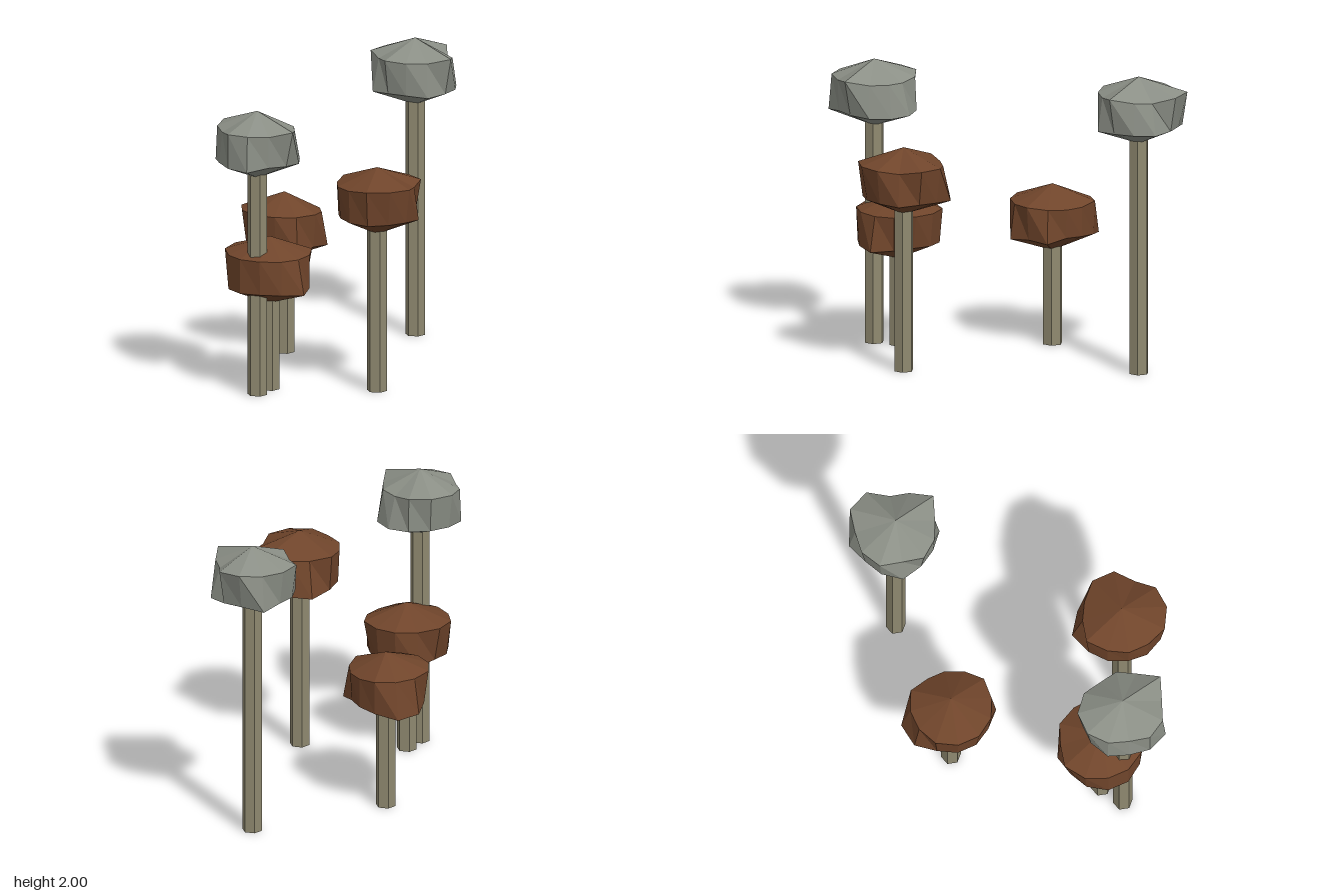
import * as THREE from 'three';

const SIDES = 12;

const stemMaterial = new THREE.MeshStandardMaterial({ color: 0x8f8970 });
stemMaterial.name = 'pale stem';
const brownMaterial = new THREE.MeshStandardMaterial({ color: 0x70452b });
brownMaterial.name = 'brown cap';
const greyMaterial = new THREE.MeshStandardMaterial({ color: 0x8b8f86 });
greyMaterial.name = 'grey cap';

// y is the middle of the cap; upper and lower hold the ring radii in hundredths,
// starting at +x and turning towards +z
const MUSHROOMS = [
  { name: 'greyMushroomLeft', x: -0.74, y: 1.685, z: 0.575, material: greyMaterial,
    upper: [25, 25, 32, 26, 28, 28, 24, 27, 30, 30, 27, 23],
    lower: [29, 28, 26, 25, 30, 28, 26, 28, 27, 27, 28, 29] },
  { name: 'greyMushroomRight', x: 0.714, y: 1.775, z: -0.685, material: greyMaterial,
    upper: [22, 25, 32, 26, 27, 29, 25, 30, 29, 27, 32, 30],
    lower: [28, 27, 27, 29, 26, 26, 29, 27, 26, 31, 26, 26] },
  { name: 'brownMushroomFront', x: 0.04, y: 1.28, z: 0.70, material: brownMaterial,
    upper: [30, 25, 29, 30, 30, 27, 27, 27, 30, 26, 26, 30],
    lower: [26, 28, 26, 26, 27, 26, 25, 26, 28, 33, 31, 27] },
  { name: 'brownMushroomBack', x: -0.24, y: 0.855, z: -0.48, material: brownMaterial,
    upper: [24, 25, 28, 27, 28, 29, 29, 29, 27, 27, 28, 24],
    lower: [23, 29, 26, 30, 26, 26, 26, 26, 31, 33, 27, 24] },
  { name: 'brownMushroomLeft', x: -0.62, y: 0.805, z: 0.452, material: brownMaterial,
    upper: [29, 27, 26, 27, 28, 28, 28, 30, 31, 27, 29, 28],
    lower: [25, 27, 31, 28, 27, 28, 28, 27, 26, 29, 27, 26] },
];

// Three-band sphere whose ring points are pushed in or out from the middle
function capGeometry(upper, lower) {
  const sphere = new THREE.SphereGeometry(1, SIDES, 3);
  const p = sphere.attributes.position;
  for (let i = 0; i <= SIDES; i++) {
    const k = (18 - i) % SIDES;
    const angle = (k / SIDES) * Math.PI * 2;
    p.setXYZ(i, 0, 0.225, 0);
    p.setXYZ(3 * (SIDES + 1) + i, 0, -0.225, 0);
    [upper, lower].forEach((ring, n) => {
      const r = ring[k] / 100;
      const y = (n === 0 ? 1 : -1) * 0.41 * r;
      p.setXYZ((n + 1) * (SIDES + 1) + i, r * Math.cos(angle), y, r * Math.sin(angle));
    });
  }
  // Separate faces give flat facets
  const flat = sphere.toNonIndexed();
  flat.computeVertexNormals();
  return flat;
}

// Six-sided flat-faced stem standing on the ground
function stemGeometry(height) {
  const flat = new THREE.CylinderGeometry(0.066, 0.066, height, 6).toNonIndexed();
  flat.computeVertexNormals();
  return flat.translate(0, height / 2, 0);
}

export function createModel() {
  const model = new THREE.Group();
  model.name = 'mushroomCluster';
  for (const m of MUSHROOMS) {
    const mushroom = new THREE.Group();
    mushroom.name = m.name;
    mushroom.position.set(m.x, 0, m.z);

    const stem = new THREE.Mesh(stemGeometry(m.y), stemMaterial);
    stem.name = 'stem';

    const cap = new THREE.Mesh(capGeometry(m.upper, m.lower), m.material);
    cap.name = 'cap';
    cap.position.y = m.y;

    mushroom.add(stem, cap);
    model.add(mushroom);
  }
  return model;
}
